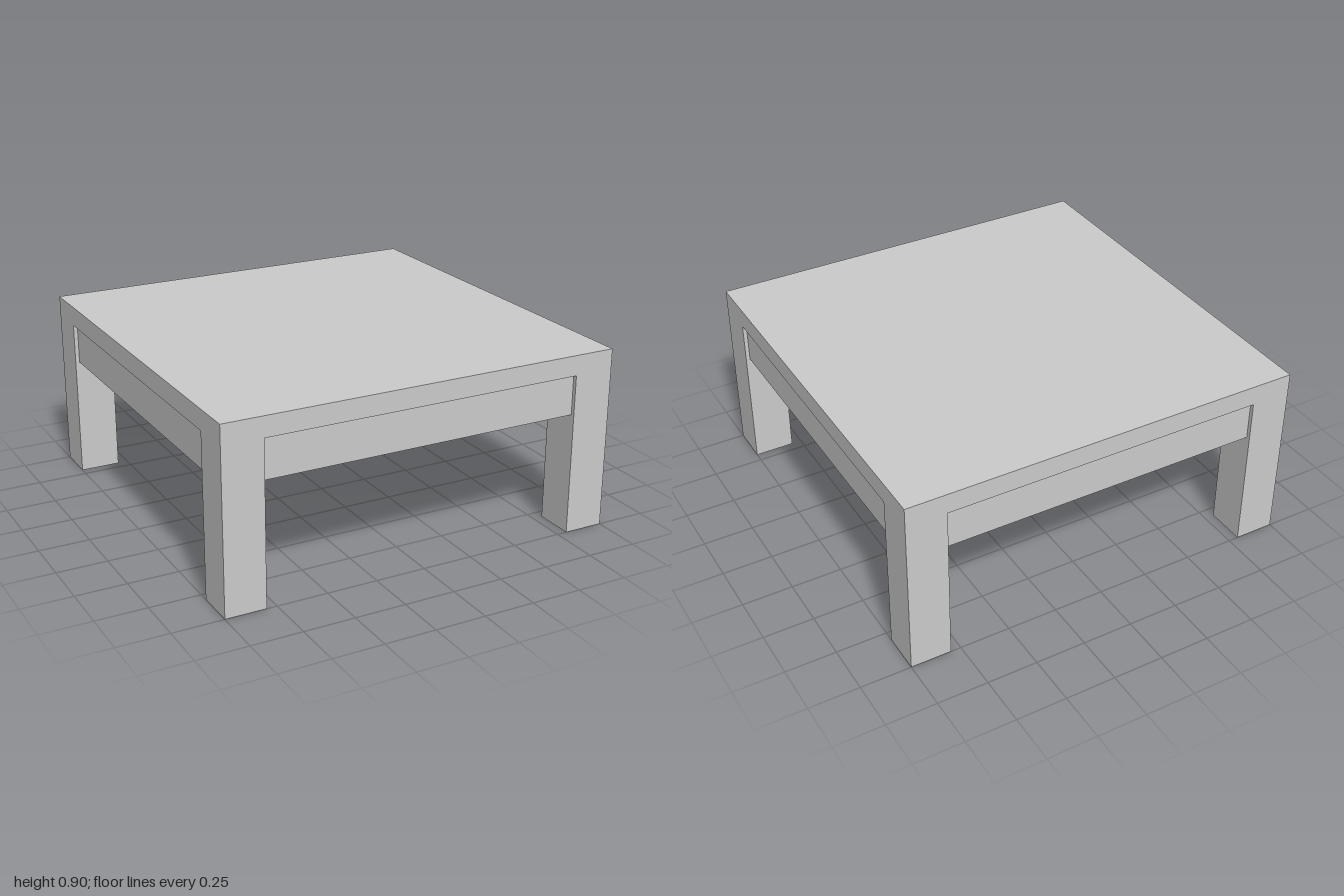
import * as THREE from 'three';

export function createModel() {
  const table = new THREE.Group();
  table.name = 'table';
  const material = new THREE.MeshStandardMaterial({ color: 0xcccccc, flatShading: true });

  const size = 2, height = 0.9, topThickness = 0.1, leg = 0.2;
  const under = height - topThickness;
  const span = size - 2 * leg;

  function addBox(name, w, h, d, x, y, z, parent = table) {
    const mesh = new THREE.Mesh(new THREE.BoxGeometry(w, h, d), material);
    mesh.name = name;
    mesh.position.set(x, y, z);
    parent.add(mesh);
  }

  // Square top, flush with the outer faces of the legs
  addBox('tableTop', size, topThickness, size, 0, under + topThickness / 2, 0);

  // Four corner legs
  const legPos = (size - leg) / 2;
  for (const [zName, sz] of [['front', 1], ['back', -1]]) {
    for (const [xName, sx] of [['Left', 1], ['Right', -1]]) {
      addBox(`${zName}${xName}Leg`, leg, under, leg, sx * legPos, under / 2, sz * legPos);
    }
  }

  // Thick aprons between the legs, set back slightly outside and flush with the legs inside
  const apronHeight = 0.2, inset = 0.02, apronDepth = leg - inset;
  ['front', 'left', 'back', 'right'].forEach((side, i) => {
    const holder = new THREE.Group();
    holder.name = `${side}Apron`;
    holder.rotation.y = (i * Math.PI) / 2;
    addBox(`${side}ApronBoard`, span, apronHeight, apronDepth,
      0, under - apronHeight / 2, size / 2 - inset - apronDepth / 2, holder);
    table.add(holder);
  });

  // Panel under the top, filling the space between the aprons
  const panelThickness = 0.1;
  addBox('undersidePanel', span, panelThickness, span, 0, under - panelThickness / 2, 0);

  return table;
}
